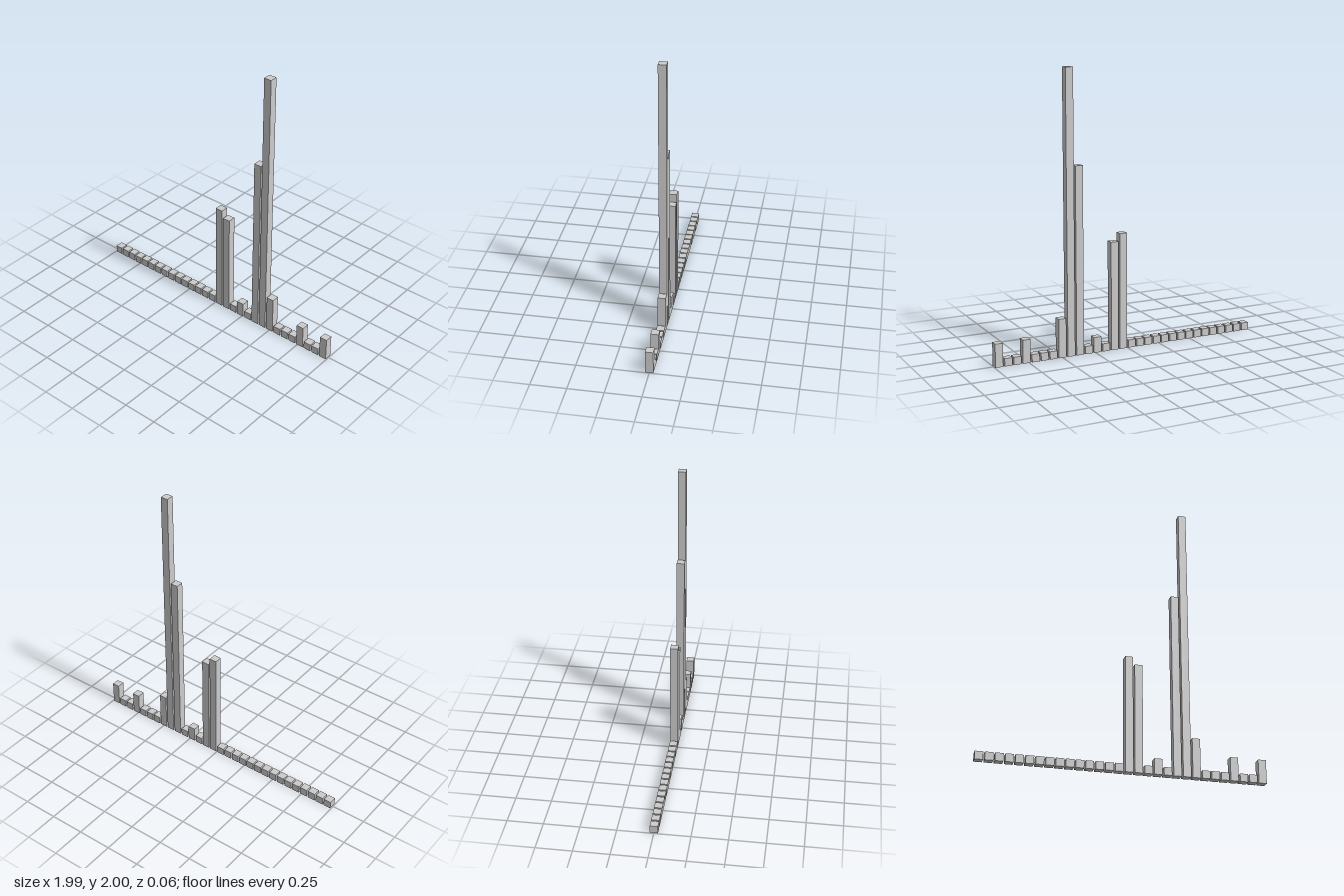
import * as THREE from 'three';

const UNIT = 1 / 18;      // bar width, depth and height step
const PITCH = 1.2 * UNIT; // spacing between bar centres
const COUNT = 30;

// Bars taller than one step: index -> height in steps
const TALL = { 15: 15, 16: 14, 18: 2, 20: 24, 21: 36, 22: 5, 26: 3, 29: 3 };

export function createModel() {
  const group = new THREE.Group();
  group.name = 'barChart';
  const material = new THREE.MeshStandardMaterial({ color: 0xcccccc });

  // Row of separate square bars standing on the ground
  for (let i = 0; i < COUNT; i++) {
    const height = (TALL[i] ?? 1) * UNIT;
    const bar = new THREE.Mesh(new THREE.BoxGeometry(UNIT, height, UNIT), material);
    bar.name = `bar${i + 1}`;
    bar.position.set((i - (COUNT - 1) / 2) * PITCH, height / 2, 0);
    group.add(bar);
  }
  return group;
}
